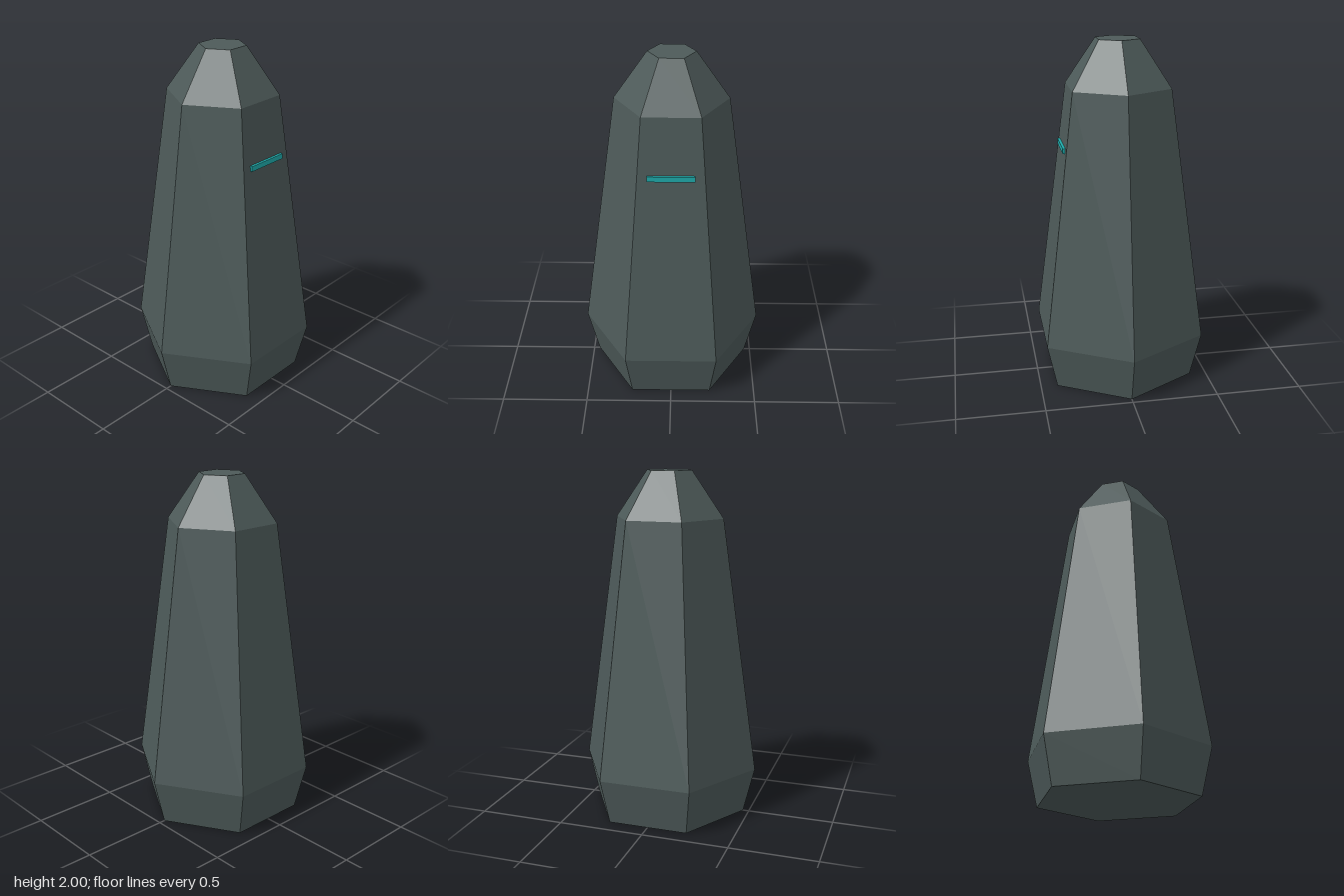
import * as THREE from 'three';

export function createModel() {
  const model = new THREE.Group();
  model.name = 'obelisk';

  const stone = new THREE.MeshStandardMaterial({ color: 0x4d5a59 });
  stone.name = 'dark slate';
  stone.flatShading = true;
  const glow = new THREE.MeshStandardMaterial({ color: 0x1fabab });
  glow.name = 'teal';

  // Six-sided tapering body, closed at the base and the tip
  const profile = [
    [0, 0], [0.465, 0], [0.531, 0.27], [0.32, 1.735], [0.133, 2], [0, 2],
  ].map(([r, y]) => new THREE.Vector2(r, y));
  const body = new THREE.Mesh(new THREE.LatheGeometry(profile, 6, Math.PI / 2), stone);
  body.name = 'body';
  model.add(body);

  // Narrow bar set into the front face
  const bar = new THREE.Mesh(new THREE.BoxGeometry(0.26, 0.03, 0.022), glow);
  bar.name = 'frontBar';
  bar.position.set(0, 1.4, 0.321);
  model.add(bar);

  return model;
}
